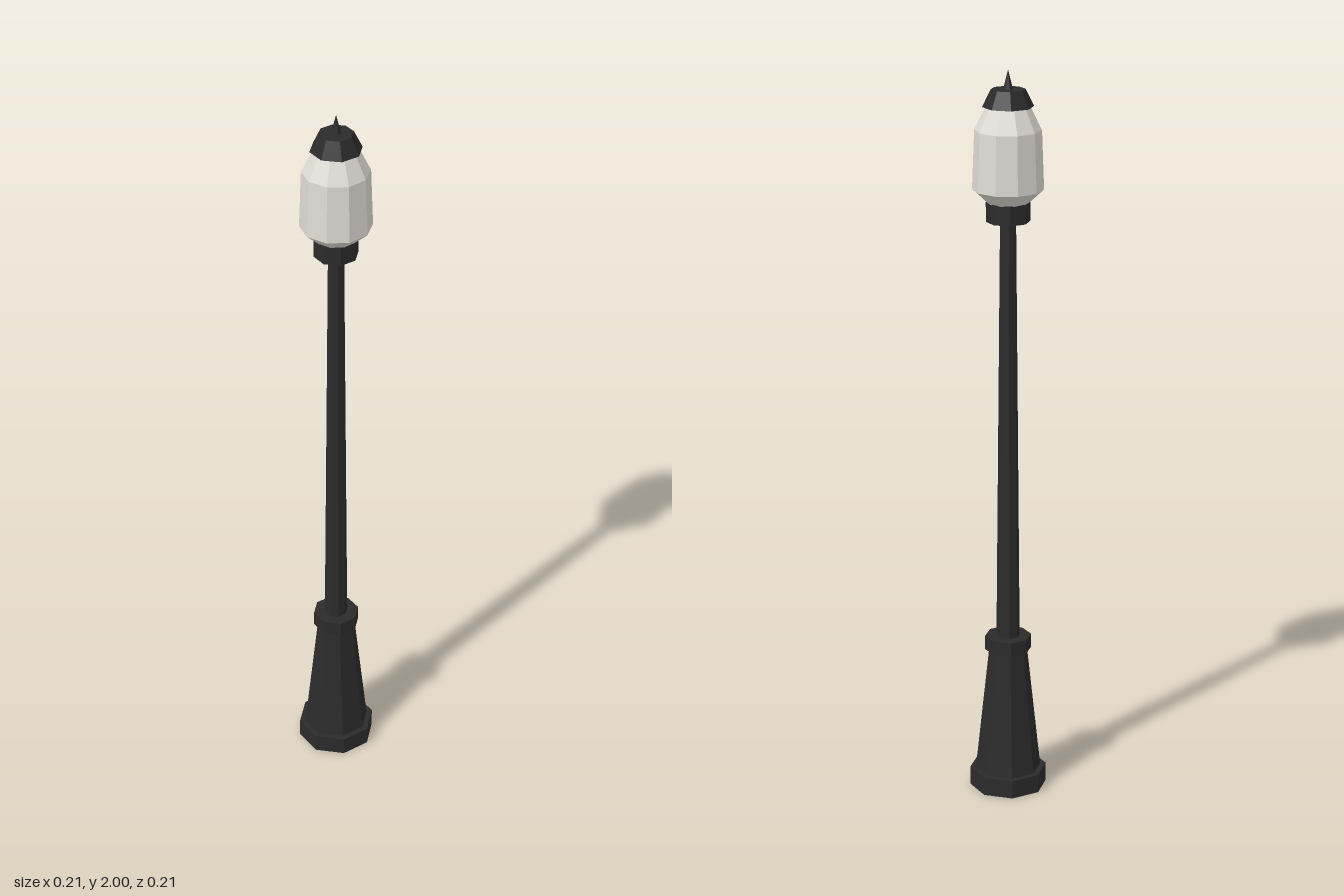
import * as THREE from 'three';

export function createModel() {
  const model = new THREE.Group();
  model.name = 'streetLamp';

  const iron = new THREE.MeshStandardMaterial({ color: 0x2b2b2c, flatShading: true });
  iron.name = 'blackIron';
  const glass = new THREE.MeshStandardMaterial({ color: 0xdedcd4, flatShading: true });
  glass.name = 'paleGlass';

  // Faceted, closed ring section between two heights
  function section(name, y0, y1, r0, r1, sides = 8, material = iron, start = 0) {
    const geometry = new THREE.CylinderGeometry(r1, r0, y1 - y0, sides, 1, false, start);
    const mesh = new THREE.Mesh(geometry, material);
    mesh.name = name;
    mesh.position.y = (y0 + y1) / 2;
    model.add(mesh);
  }

  // Pedestal
  section('basePlate', 0, 0.052, 0.106, 0.106);
  section('pedestal', 0.052, 0.408, 0.09, 0.052);
  section('pedestalCollar', 0.405, 0.445, 0.063, 0.063);

  // Tapered pole and lamp holder
  section('pole', 0.44, 1.61, 0.032, 0.021);
  section('lampHolder', 1.605, 1.657, 0.058, 0.058);

  // Ten-sided glass globe with a corner on each side of the x axis
  const profile = [[0, 1.655], [0.055, 1.655], [0.093, 1.69], [0.087, 1.845], [0.055, 1.91], [0, 1.91]]
    .map(([r, y]) => new THREE.Vector2(r, y));
  const globe = new THREE.Mesh(new THREE.LatheGeometry(profile, 10, Math.PI / 2), glass);
  globe.name = 'glassGlobe';
  model.add(globe);

  // Cap and pointed finial
  section('cap', 1.905, 1.95, 0.067, 0.045);
  section('finial', 1.945, 2, 0.014, 0, 6);

  return model;
}
